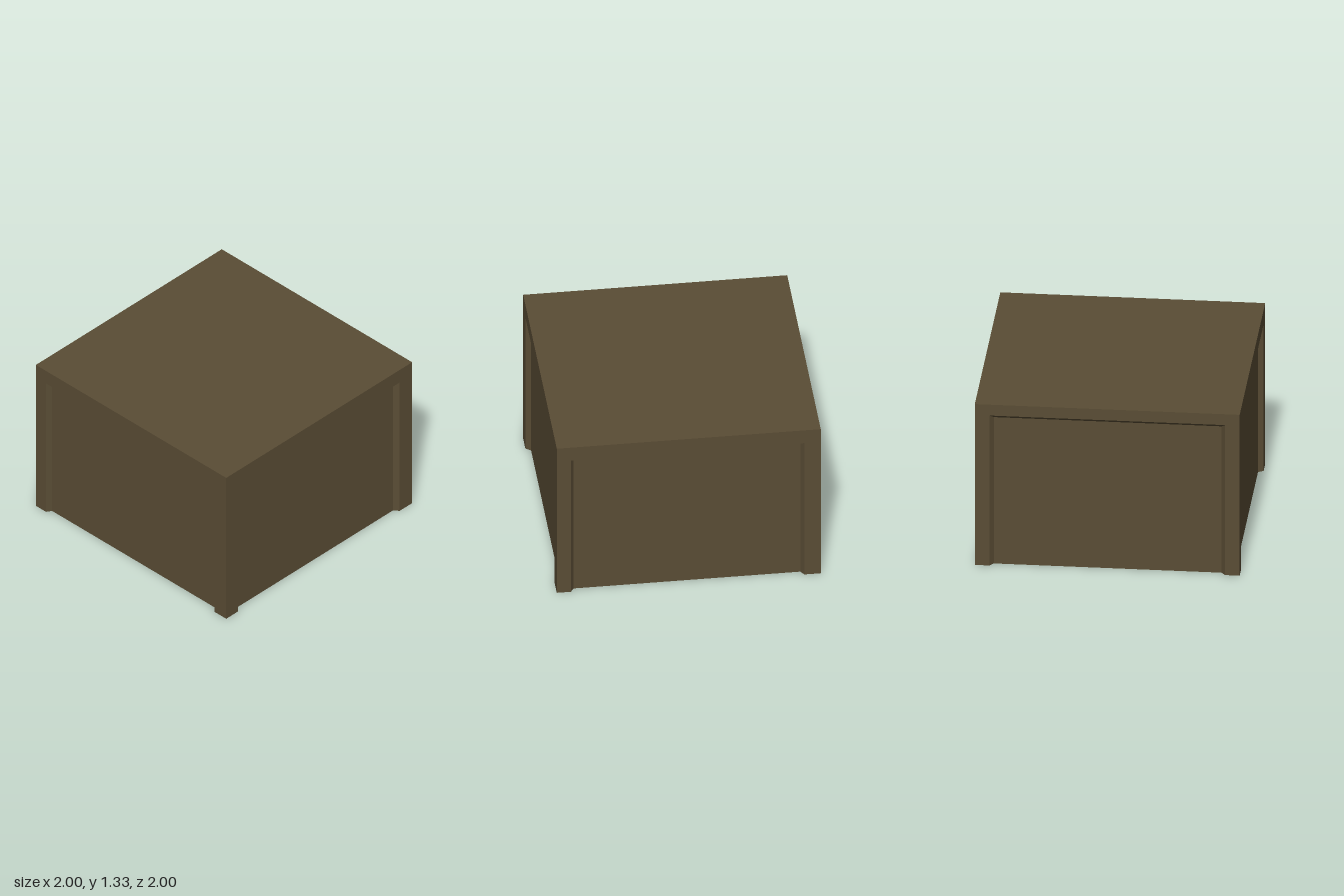
import * as THREE from 'three';

const H = 1.333;      // overall height
const DEPTH = 0.04;   // depth of the recessed side panels

// One entry per side, turned about y: opening edges, opening top, bevel widths
const SIDES = [
  { name: 'front', turn: 0, l: -0.875, r: 0.865, top: 1.215, side: 0.03, head: 0.03 },
  { name: 'right', turn: Math.PI / 2, l: -0.893, r: 0.875, top: 1.215, side: 0.025, head: 0.02 },
  { name: 'back', turn: Math.PI, l: -0.89, r: 0.89, top: 1.243, side: 0.03, head: 0.03 },
  { name: 'left', turn: -Math.PI / 2, l: -0.893, r: 0.875, top: 1.215, side: 0.025, head: 0.02 },
];

// Flat quads, corners counter-clockwise as seen from outside
function quads(list) {
  const pos = [];
  for (const [a, b, c, d] of list) pos.push(...a, ...b, ...c, ...a, ...c, ...d);
  const g = new THREE.BufferGeometry();
  g.setAttribute('position', new THREE.Float32BufferAttribute(pos, 3));
  g.computeVertexNormals();
  return g;
}

export function createModel() {
  const model = new THREE.Group();
  model.name = 'box';
  const brown = new THREE.MeshStandardMaterial({ color: 0x5a4d35 });
  brown.name = 'dark brown';

  const add = (name, geometry, parent = model) => {
    const mesh = new THREE.Mesh(geometry, brown);
    mesh.name = name;
    parent.add(mesh);
    return mesh;
  };

  const outline = []; // footprint of the base, following the recesses

  for (const s of SIDES) {
    const group = new THREE.Group();
    group.name = s.name + 'Side';
    group.rotation.y = s.turn;
    model.add(group);

    const li = s.l + s.side, ri = s.r - s.side, ti = s.top - s.head, zi = 1 - DEPTH;

    // Outer frame: two posts and a head rail
    add('frame', new THREE.ShapeGeometry(new THREE.Shape([
      [-1, 0], [s.l, 0], [s.l, s.top], [s.r, s.top], [s.r, 0], [1, 0], [1, H], [-1, H],
    ].map(([x, y]) => new THREE.Vector2(x, y)))).translate(0, 0, 1), group);

    // Sloping edges of the recess
    add('recessBevel', quads([
      [[s.l, 0, 1], [li, 0, zi], [li, ti, zi], [s.l, s.top, 1]],
      [[ri, 0, zi], [s.r, 0, 1], [s.r, s.top, 1], [ri, ti, zi]],
      [[li, ti, zi], [ri, ti, zi], [s.r, s.top, 1], [s.l, s.top, 1]],
    ]), group);

    // Recessed panel
    add('panel', quads([[[li, 0, zi], [ri, 0, zi], [ri, ti, zi], [li, ti, zi]]]), group);

    const c = Math.cos(s.turn), n = Math.sin(s.turn);
    for (const [x, z] of [[s.l, 1], [li, zi], [ri, zi], [s.r, 1], [1, 1]]) {
      outline.push(new THREE.Vector2(x * c + z * n, z * c - x * n));
    }
  }

  // Flat top and base
  add('top', new THREE.PlaneGeometry(2, 2).rotateX(-Math.PI / 2)).position.y = H;
  add('base', new THREE.ShapeGeometry(new THREE.Shape(outline)).rotateX(Math.PI / 2));

  return model;
}
